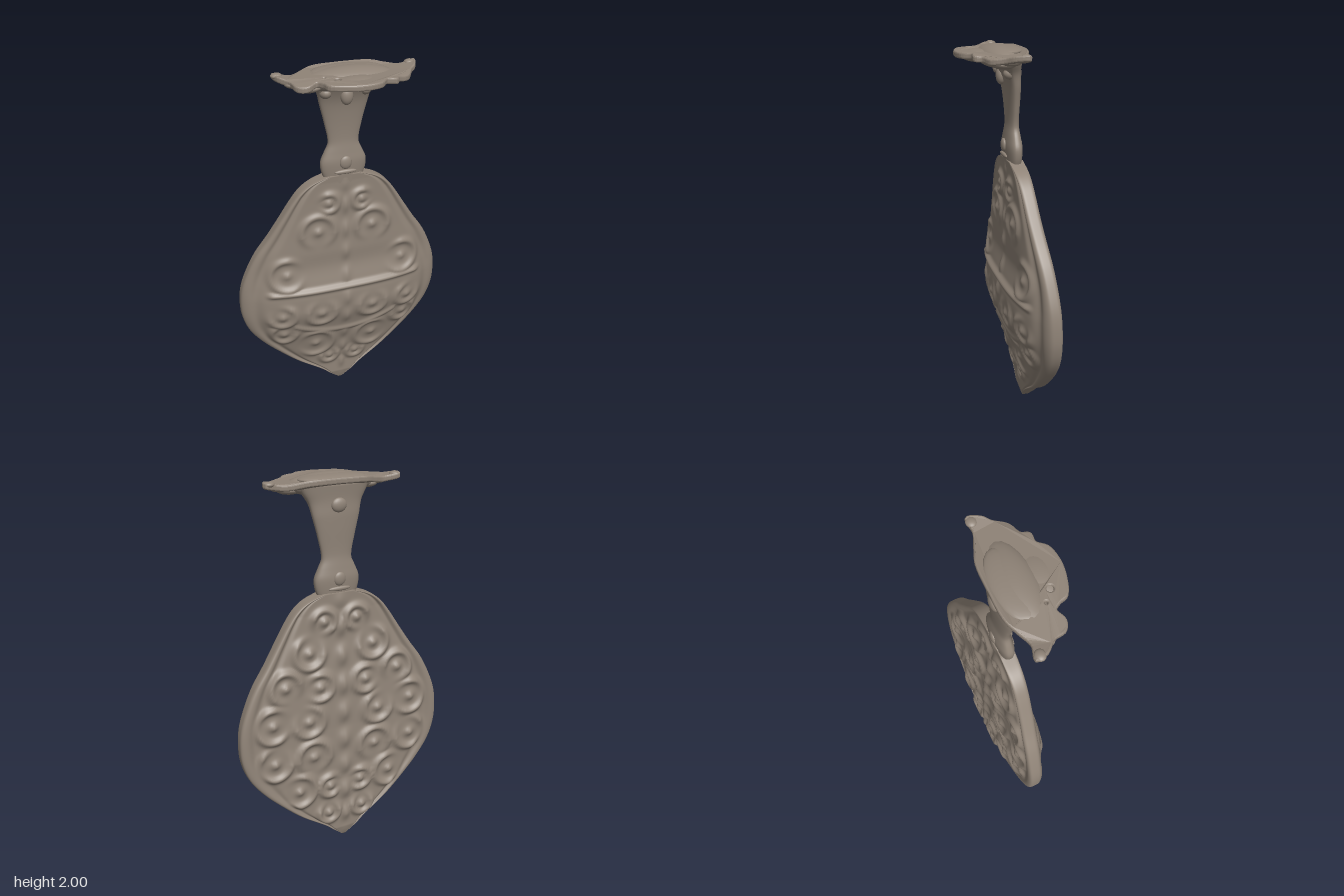
import * as THREE from 'three';

const material = new THREE.MeshStandardMaterial({ color: 0x8f8377, side: THREE.DoubleSide });

// Smooth interpolation through [key, value] pairs sorted by key
function curve(pairs) {
  return (k) => {
    let i = 0;
    while (i < pairs.length - 2 && k > pairs[i + 1][0]) i++;
    const [a, b] = [pairs[i], pairs[i + 1]];
    const at = (n) => pairs[Math.min(Math.max(n, 0), pairs.length - 1)];
    const slope = (n) => (at(n + 1)[1] - at(n - 1)[1]) / (at(n + 1)[0] - at(n - 1)[0]);
    const h = b[0] - a[0], t = THREE.MathUtils.clamp((k - a[0]) / h, 0, 1);
    const t2 = t * t, t3 = t2 * t;
    return (2 * t3 - 3 * t2 + 1) * a[1] + (t3 - 2 * t2 + t) * h * slope(i)
      + (3 * t2 - 2 * t3) * b[1] + (t3 - t2) * h * slope(i + 1);
  };
}

// Closed tube of horizontal cross-sections; point(y, angle) gives [x, z]
function loft(y0, y1, rows, cols, point) {
  const pos = [], index = [];
  for (let r = 0; r <= rows; r++) {
    const y = y0 + (y1 - y0) * r / rows;
    for (let c = 0; c < cols; c++) {
      const [x, z] = point(y, c / cols * Math.PI * 2);
      pos.push(x, y, z);
      if (r === rows) continue;
      const a = r * cols + c, b = r * cols + (c + 1) % cols;
      index.push(a, a + cols, b, b, a + cols, b + cols);
    }
  }
  for (let c = 1; c < cols - 1; c++) {
    index.push(0, c, c + 1);
    const t = rows * cols;
    index.push(t, t + c + 1, t + c);
  }
  const g = new THREE.BufferGeometry();
  g.setAttribute('position', new THREE.Float32BufferAttribute(pos, 3));
  g.setIndex(index);
  g.computeVertexNormals();
  return g;
}

function add(group, name, geometry) {
  const mesh = new THREE.Mesh(geometry, material);
  mesh.name = name;
  group.add(mesh);
  return mesh;
}

const bell = (d, w) => Math.exp(-(d * d) / (w * w));

// Scroll relief: each scroll [x, y, radius, opening angle], mirrored in x
function scrollRelief(scrolls, x, y) {
  let h = 0;
  const ax = Math.abs(x);
  for (const [sx, sy, radius, gap] of scrolls) {
    const dx = ax - sx, dy = y - sy, d = Math.hypot(dx, dy);
    if (d > radius + 0.06) continue;
    const open = 0.5 - 0.5 * Math.cos(Math.atan2(dy, dx) - gap);
    h = Math.max(h, bell(d - radius, 0.02) * Math.min(1, open * 2.5), bell(d, 0.025));
  }
  return h;
}

const frontScrolls = [
  [0.09, 1.28, 0.05, 0], [0.15, 1.12, 0.09, -1.6], [0.33, 0.88, 0.09, 3], [0.37, 0.62, 0.07, 1],
  [0.36, 0.48, 0.07, 2], [0.17, 0.36, 0.10, 0], [0.08, 0.22, 0.05, 1.5], [0.15, 0.62, 0.08, 1.6],
];
const backScrolls = [
  [0.09, 1.29, 0.06, -1], [0.18, 1.14, 0.08, 2], [0.32, 0.98, 0.08, -2], [0.13, 0.95, 0.07, 0],
  [0.40, 0.79, 0.09, 3], [0.20, 0.77, 0.08, 1], [0.40, 0.57, 0.09, 2], [0.18, 0.56, 0.09, -1.5],
  [0.27, 0.37, 0.09, 0.5], [0.09, 0.36, 0.06, 3], [0.10, 0.19, 0.06, 1.6],
];

const bladeWidth = curve([[0, 0.012], [0.05, 0.065], [0.1, 0.12], [0.2, 0.26], [0.3, 0.37], [0.4, 0.465],
  [0.5, 0.535], [0.6, 0.57], [0.7, 0.577], [0.8, 0.565], [0.9, 0.53], [1, 0.48], [1.1, 0.41], [1.2, 0.345],
  [1.3, 0.28], [1.36, 0.23], [1.4, 0.17], [1.43, 0.08]]);
const rimZ = curve([[0, -0.17], [0.2, -0.17], [0.4, -0.163], [0.6, -0.153], [0.8, -0.143], [1, -0.125],
  [1.2, -0.1], [1.43, -0.08]]);
const frontZ = curve([[0, -0.155], [0.1, -0.138], [0.2, -0.125], [0.3, -0.1], [0.4, -0.073], [0.5, -0.042],
  [0.6, -0.012], [0.72, -0.005], [0.8, -0.02], [0.9, -0.04], [1, -0.038], [1.2, -0.045], [1.43, -0.045]]);
const backZ = curve([[0, -0.188], [0.05, -0.2], [0.2, -0.203], [0.4, -0.2], [0.6, -0.193], [0.8, -0.178],
  [1, -0.155], [1.2, -0.13], [1.43, -0.115]]);

// Leaf-shaped blade with a plain rounded rim and scrollwork on both faces
function bladePoint(y, t) {
  const x = bladeWidth(y) * Math.cos(t), s = Math.abs(Math.sin(t)), u = Math.abs(Math.cos(t));
  const roundEdge = Math.sqrt(1 - (1 - Math.min(1, s / 0.45)) ** 2);
  const endFade = Math.min(1, y / 0.15, Math.max(0, (1.43 - y) / 0.1));
  const field = THREE.MathUtils.smoothstep(0.93 - u, 0, 0.12) * endFade;
  const rim = 0.038 * roundEdge * Math.min(1, 0.5 + y * 8);
  const groove = bell(u - 0.87, 0.05) * 0.012 * endFade;
  if (Math.sin(t) >= 0) {
    const rise = Math.max(0, frontZ(y) - rimZ(y) - 0.038);
    const bar = bell(y - 0.77, 0.016) * THREE.MathUtils.smoothstep(0.46 - Math.abs(x), 0, 0.05);
    const swag = bell(y - 0.45 - 0.9 * x * x, 0.018) * (Math.abs(x) < 0.3 ? 1 : 0);
    const spine = bell(x, 0.02) * (0.5 + 0.5 * Math.cos(y * 45)) * 0.8;
    const relief = Math.max(scrollRelief(frontScrolls, x, y), bar * 1.2, swag * 0.7, spine);
    return [x, rimZ(y) + rim + rise * (1 - u ** 3) - groove + relief * 0.016 * field];
  }
  const rise = Math.min(0, backZ(y) - rimZ(y) + 0.038);
  const spine = bell(x, 0.03) * (0.5 + 0.5 * Math.cos(y * 40));
  const relief = Math.max(scrollRelief(backScrolls, x, y), spine);
  return [x, rimZ(y) - rim + rise * (1 - u * u) + groove - (relief * 0.021 - 0.007) * field];
}

const neckWidth = curve([[1.34, 0.08], [1.4, 0.1], [1.45, 0.117], [1.5, 0.12], [1.55, 0.1], [1.6, 0.08],
  [1.7, 0.097], [1.8, 0.122], [1.87, 0.14], [1.92, 0.17], [1.96, 0.19]]);
const neckDepth = curve([[1.34, 0.035], [1.42, 0.038], [1.5, 0.042], [1.55, 0.036], [1.62, 0.028],
  [1.75, 0.033], [1.84, 0.042], [1.9, 0.055], [1.96, 0.075]]);
const neckZ = curve([[1.34, -0.08], [1.6, -0.077], [1.8, -0.07], [1.9, -0.05], [1.96, -0.035]]);

// Flat waisted neck
function neckPoint(y, t) {
  const s = Math.sin(t);
  return [neckWidth(y) * Math.cos(t), neckZ(y) + neckDepth(y) * Math.sign(s) * Math.abs(s) ** 0.75];
}

// Height of the winged plate: crowned centre, dipped wings, raised tips
const plateY = curve([[0, 1.968], [0.15, 1.964], [0.25, 1.946], [0.3, 1.951], [0.37, 1.967]]);

function platformGeometry() {
  const outline = [[-0.34, -0.07], [-0.33, -0.02], [-0.285, 0.03], [-0.27, 0.09], [-0.23, 0.11], [-0.18, 0.09],
    [-0.155, 0.12], [-0.14, 0.16], [-0.06, 0.195], [0.02, 0.205], [0.09, 0.19], [0.13, 0.15], [0.18, 0.15],
    [0.2, 0.115], [0.26, 0.09], [0.3, 0.03], [0.33, 0], [0.35, -0.06], [0.29, -0.055], [0.21, -0.085],
    [0.14, -0.11], [0, -0.115], [-0.14, -0.11], [-0.2, -0.085], [-0.27, -0.055]];
  const spline = new THREE.CatmullRomCurve3(outline.map(([x, z]) => new THREE.Vector3(x, -z, 0)), true);
  const shape = new THREE.Shape(spline.getPoints(120).slice(0, -1).map((p) => new THREE.Vector2(p.x, p.y)));
  for (const [x, z, r] of [[-0.09, 0.112, 0.023], [-0.14, 0.07, 0.014]]) {
    shape.holes.push(new THREE.Path().absarc(x, -z, r, 0, Math.PI * 2, true));
  }
  const g = new THREE.ExtrudeGeometry(shape, {
    depth: 0.012, bevelThickness: 0.009, bevelSize: 0.008, bevelSegments: 3, curveSegments: 10,
  });
  g.rotateX(-Math.PI / 2);
  const p = g.attributes.position;
  for (let i = 0; i < p.count; i++) {
    p.setY(i, p.getY(i) + plateY(Math.abs(p.getX(i))) - Math.max(0, p.getZ(i)) * 0.07);
  }
  g.computeVertexNormals();
  return g;
}

export function createModel() {
  const model = new THREE.Group();
  model.name = 'leafPendant';
  add(model, 'blade', loft(0, 1.43, 230, 200, bladePoint));
  add(model, 'neck', loft(1.34, 1.96, 50, 48, neckPoint));
  add(model, 'wingedPlatform', platformGeometry());

  const blob = (name, x, y, z, sx, sy, sz) => {
    const mesh = add(model, name, new THREE.SphereGeometry(1, 20, 14));
    mesh.position.set(x, y, z);
    mesh.scale.set(sx, sy, sz);
    return mesh;
  };
  // Crown on the platform and the bowl that carries it
  blob('platformCrown', 0, 1.975, -0.025, 0.18, 0.022, 0.09);
  blob('platformBowl', 0, 1.945, 0, 0.23, 0.055, 0.1);
  blob('frontLip', 0, 1.95, 0.1, 0.12, 0.03, 0.08);

  // Bosses on the neck and under the platform
  for (const z of [-0.035, -0.117]) {
    blob('neckBoss', 0, 1.5, z, 0.032, 0.035, 0.014);
    blob('neckBar', 0, 1.45, z, 0.06, 0.012, 0.01);
  }
  blob('collarBoss', 0, 1.85, -0.02, 0.032, 0.045, 0.025);
  blob('collarBoss', 0, 1.86, -0.105, 0.04, 0.035, 0.018);
  for (const side of [-1, 1]) {
    blob('collarBoss', side * 0.1, 1.87, -0.045, 0.032, 0.03, 0.04);
    blob('wingBoss', side * 0.2, 1.93, 0.02, 0.07, 0.025, 0.06);
    blob('wingBoss', side * 0.26, 1.945, 0.0, 0.05, 0.02, 0.05);
    blob('wingTip', side * 0.33, 1.972, -0.05, 0.028, 0.014, 0.025);
  }
  return model;
}
